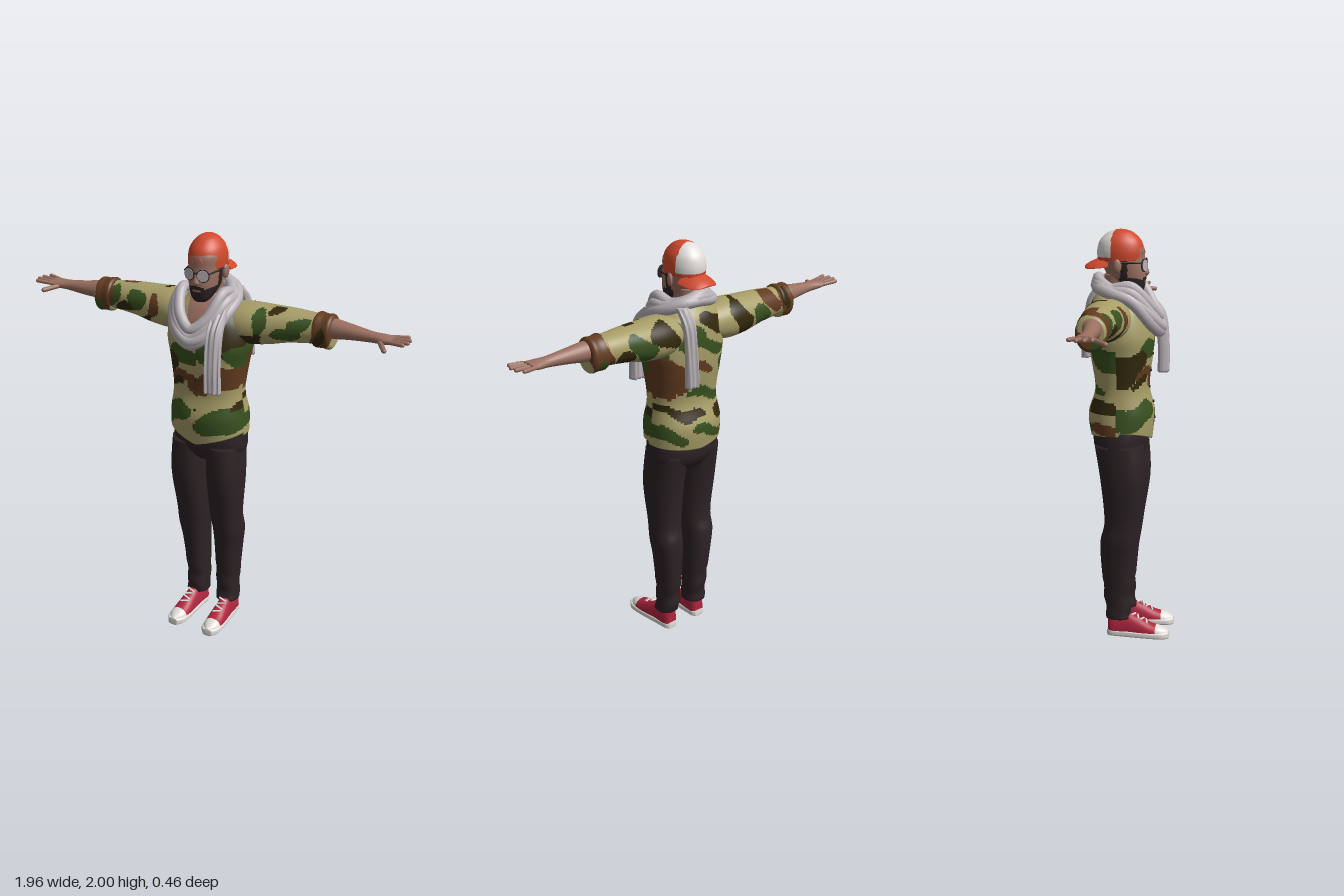
import * as THREE from 'three';

const mat = (name, color) => Object.assign(new THREE.MeshStandardMaterial({ color }), { name });
const TAN = mat('camo tan', 0xa89e68), GREEN = mat('camo green', 0x38511f), BROWN = mat('camo brown', 0x633c20);
const DARK = mat('camo dark', 0x33290b), CHARCOAL = mat('charcoal', 0x2c2224), SKIN = mat('skin', 0x9b7061);
const SCARF = mat('scarf grey', 0xbab3b8), CAP = mat('cap red', 0xd0492d), WHITE = mat('white', 0xe2deda);
const SHOE = mat('shoe red', 0xb0263e);

const catmull = (a, b, c, d, u) =>
  0.5 * (2 * b + (c - a) * u + (2 * a - 5 * b + 4 * c - d) * u * u + (3 * b - a - 3 * c + d) * u * u * u);

// Smooth body through rounded cross-sections [t, centre1, radius1, centre2, radius2] along an axis.
// pick(x, y, z) chooses the material index of each patch; warp(v) moves a vertex.
function loft(name, axis, keys, mats, { sub = 8, seg = 40, power = 2.3, pick = () => 0, warp } = {}) {
  const pos = [], v = new THREE.Vector3(), rows = (keys.length - 1) * sub;
  const flip = (axis !== 'y') !== (keys[0][0] > keys[keys.length - 1][0]);
  const put = (t, a, b) => {
    if (axis === 'y') v.set(a, t, b);
    else if (axis === 'x') v.set(t, a, b);
    else v.set(a, b, t);
    if (warp) warp(v);
    pos.push(v.x, v.y, v.z);
  };
  const K = i => keys[Math.min(Math.max(i, 0), keys.length - 1)];
  const row = r => {
    const i = Math.min(Math.floor(r / sub), keys.length - 2), u = r / sub - i;
    return K(i).map((b, n) => catmull(K(i - 1)[n], b, K(i + 1)[n], K(i + 2)[n], u));
  };
  const round = c => Math.sign(c) * Math.abs(c) ** (2 / power);
  for (let r = 0; r <= rows; r++) {
    const [t, c1, r1, c2, r2] = row(r);
    for (let j = 0; j < seg; j++) {
      const q = (j / seg) * Math.PI * 2;
      put(t, c1 + r1 * round(Math.cos(q)), c2 + r2 * round(Math.sin(q)));
    }
  }
  for (const k of [K(0), K(keys.length)]) put(k[0], k[1], k[3]);
  const lists = mats.map(() => []);
  const tri = (l, a, b, c) => (flip ? l.push(a, c, b) : l.push(a, b, c));
  const mid = (a, b) => [0, 1, 2].map(n => (pos[a * 3 + n] + pos[b * 3 + n]) / 2);
  const last = (rows + 1) * seg;
  for (let j = 0; j < seg; j++) {
    const k = (j + 1) % seg;
    for (let r = 0; r < rows; r++) {
      const a = r * seg + j, b = r * seg + k, c = b + seg, d = a + seg, l = lists[pick(...mid(a, c))];
      tri(l, a, d, b);
      tri(l, b, d, c);
    }
    tri(lists[pick(...mid(j, k))], last, j, k);
    tri(lists[pick(...mid(rows * seg + j, rows * seg + k))], last + 1, rows * seg + k, rows * seg + j);
  }
  const g = new THREE.BufferGeometry();
  g.setAttribute('position', new THREE.Float32BufferAttribute(pos, 3));
  g.setIndex(lists.flat());
  let start = 0;
  lists.forEach((l, i) => { g.addGroup(start, l.length, i); start += l.length; });
  g.computeVertexNormals();
  const m = new THREE.Mesh(g, mats);
  m.name = name;
  return m;
}

// Camouflage blobs: [x, y, half width, half height, colour index]; later ones lie on top.
const torsoFront = [[.19, 1.57, .1, .12, 3], [.22, 1.46, .07, .06, 1], [.07, 1.47, .05, .06, 1], [-.07, 1.44, .1, .045, 1],
  [-.17, 1.36, .07, .08, 3], [.12, 1.33, .15, .065, 2], [-.06, 1.33, .07, .03, 2], [-.1, 1.285, .06, .02, 3],
  [-.13, 1.13, .13, .055, 1], [.13, 1.12, .12, .065, 1], [.2, 1.2, .04, .025, 3]];
const torsoBack = [[-.12, 1.62, .13, .05, 3], [.1, 1.6, .1, .07, 1], [-.05, 1.52, .1, .03, 1], [.22, 1.47, .06, .06, 1],
  [.14, 1.4, .1, .08, 2], [-.17, 1.4, .07, .06, 1], [0, 1.42, .05, .03, 2], [-.05, 1.28, .12, .03, 1], [.18, 1.32, .06, .05, 2],
  [.09, 1.2, .1, .03, 3], [-.13, 1.18, .07, .035, 3], [.16, 1.1, .08, .035, 1], [-.04, 1.1, .1, .03, 1], [-.17, 1.07, .05, .03, 2]];
const sleeveFront = [[-.28, 1.6, .03, .06, 2], [-.38, 1.63, .06, .045, 1], [-.45, 1.57, .05, .03, 3], [-.52, 1.62, .04, .05, 1],
  [-.33, 1.53, .05, .025, 3], [-.58, 1.61, .05, .12, 2], [-.6, 1.55, .03, .05, 1], [.23, 1.53, .07, .05, 3], [.28, 1.64, .035, .06, 1],
  [.4, 1.59, .07, .035, 1], [.46, 1.65, .06, .03, 1], [.36, 1.68, .04, .02, 3], [.57, 1.61, .05, .12, 2], [.56, 1.58, .025, .05, 3]];
const sleeveBack = [[-.25, 1.6, .06, .08, 3], [-.38, 1.58, .06, .06, 1], [-.47, 1.64, .06, .05, 2], [-.58, 1.6, .05, .12, 2],
  [-.57, 1.62, .025, .06, 3], [.22, 1.62, .08, .06, 3], [.35, 1.6, .07, .06, 1], [.45, 1.57, .05, .04, 3], [.57, 1.6, .06, .12, 2],
  [.56, 1.56, .03, .04, 1]];
const camo = (front, back, zMid) => (x, y, z) => {
  const px = x + .015 * Math.sin(y * 34 + z * 9), py = y + .014 * Math.sin(x * 31 + z * 12);
  let hit = 0;
  for (const [bx, by, rx, ry, m] of z > zMid ? front : back) {
    const dx = px - bx, dy = py - by - .25 * dx;
    if ((dx / rx) ** 2 + (dy / ry) ** 2 < 1) hit = m;
  }
  return hit;
};
const CAMO = [TAN, GREEN, BROWN, DARK];

export function createModel() {
  const root = new THREE.Group();
  const add = (...m) => root.add(...m);
  const part = (name, geo, material, x = 0, y = 0, z = 0, rx = 0, ry = 0, rz = 0) => {
    const m = new THREE.Mesh(geo, material);
    m.name = name;
    m.position.set(x, y, z);
    m.rotation.set(rx, ry, rz);
    add(m);
    return m;
  };
  const rod = (name, a, b, r, material) => {
    const p = new THREE.Vector3(...a), q = new THREE.Vector3(...b), d = q.clone().sub(p);
    const m = part(name, new THREE.CapsuleGeometry(r, d.length(), 4, 10), material);
    m.position.copy(p).lerp(q, .5);
    m.quaternion.setFromUnitVectors(new THREE.Vector3(0, 1, 0), d.normalize());
  };

  // Shirt body with an open neck showing the chest
  const shirtCamo = camo(torsoFront, torsoBack, -.015);
  add(loft('shirtBody', 'y', [[1.025, .01, .193, -.015, .146], [1.13, .01, .19, -.016, .157], [1.25, .008, .177, -.012, .128],
    [1.4, .01, .193, -.015, .146], [1.5, .012, .21, -.015, .154], [1.6, .01, .195, -.025, .143], [1.66, .005, .16, -.035, .12],
    [1.7, 0, .11, -.04, .09], [1.73, 0, .065, -.035, .07]], [...CAMO, SKIN], {
    sub: 12, seg: 130,
    pick: (x, y, z) => (z > 0 && Math.abs(x) < .32 * (y - 1.49) ? 4 : shirtCamo(x, y, z)),
    warp: v => { if (v.y < 1.1) v.y += (1.1 - v.y) * 4 * (Math.abs(v.x - .01) - .1) * (v.z > 0 ? 1 : .4); },
  }));
  [[1.1, .143], [1.18, .137], [1.25, .117], [1.33, .125], [1.41, .133]].forEach(([y, z]) =>
    part('button', new THREE.CylinderGeometry(.006, .006, .008, 10), DARK, .012, y, z, Math.PI / 2));

  // Arms: sleeve, rolled cuff, forearm and hand; the right arm sits lower and further forward
  for (const s of [1, -1]) {
    const drift = x => (s > 0 ? 0 : Math.min(Math.max((x - .2) / .5, 0), 1));
    const place = (x, y, z) => [s * x, y - .025 * drift(x), z + .04 * drift(x)];
    const arm = keys => keys.map(([x, cy, ry, cz, rz]) => {
      const [px, py, pz] = place(x, cy, cz);
      return [px, py, ry, pz, rz];
    });
    const pick = camo(sleeveFront, sleeveBack, s > 0 ? -.07 : -.05);
    add(loft('sleeve', 'x', arm([[.1, 1.595, .085, -.05, .1], [.2, 1.595, .097, -.055, .11], [.3, 1.6, .092, -.065, .1],
      [.4, 1.612, .08, -.073, .088], [.5, 1.617, .071, -.08, .075], [.56, 1.618, .068, -.082, .067]]), CAMO,
    { sub: 14, seg: 64, pick, power: 2.1 }));
    const c = s > 0 ? .525 : .54;
    add(loft('rolledCuff', 'x', arm([[c, 1.617, .07, -.081, .068], [c + .012, 1.616, .083, -.082, .074],
      [c + .045, 1.614, .08, -.083, .07], [c + .075, 1.614, .082, -.083, .07], [c + .088, 1.614, .066, -.083, .058]]), CAMO,
    { sub: 6, seg: 64, pick, power: 2.1 }));
    add(loft('forearm', 'x', arm([[.5, 1.63, .05, -.082, .05], [.6, 1.634, .048, -.079, .046], [.7, 1.635, .036, -.075, .037],
      [.8, 1.634, .025, -.07, .029], [.86, 1.635, .021, -.068, .04], [.9, 1.638, .013, -.068, .046]]), [SKIN], { seg: 24, power: 2 }));
    [[-.041, .951], [-.014, .97], [.013, .973], [.038, .962]].forEach(([dz, tip]) =>
      rod('finger', place(.885, 1.638, -.068 + dz * .9), place(tip, 1.643, -.068 + dz * 1.25), .0095, SKIN));
    rod('thumb', place(.845, 1.63, -.045), place(.895, 1.618, .022), .0115, SKIN);
  }

  // Trousers
  add(loft('trouserHips', 'y', [[.89, .012, .1, -.02, .08], [.94, .012, .175, -.02, .117], [1, .012, .186, -.02, .13],
    [1.09, .012, .176, -.018, .125]], [CHARCOAL]));
  for (const s of [1, -1]) {
    const legX = (x, y) => (s < 0 ? x : .02 + .045 * (.85 - y) - x);
    add(loft('trouserLeg', 'y', [[.095, -.06, .056, -.02, .06], [.2, -.06, .055, -.028, .063], [.4, -.072, .066, -.028, .079],
      [.5, -.08, .074, -.02, .086], [.6, -.079, .077, -.003, .084], [.8, -.088, .088, .003, .107], [.98, -.085, .088, -.015, .118]]
      .map(([y, x, ...k]) => [y, legX(x, y), ...k]), [CHARCOAL], { warp: v => { v.z += .004 * Math.sin(v.y * 60 + v.x * 20) * (v.y < .3); } }));
  }

  // Shoes: sole, upper with white toe, laces
  for (const x of [-.06, .122]) {
    const shoe = new THREE.Group();
    shoe.name = 'shoe';
    const outline = grow => [[-.076, .022, .012], [-.055, .037, .012], [0, .041, .012], [.08, .046, .012], [.15, .048, .012],
      [.2, .042, .012], [.23, .022, .012]].map(([z, r]) => [z, 0, r + grow, .018, .018]);
    shoe.add(loft('sole', 'z', outline(.002), [WHITE], { power: 4 }));
    shoe.add(loft('upper', 'z', [[-.073, 0, .024, .02, .085], [-.05, 0, .038, .02, .1], [.02, 0, .04, .02, .098], [.08, 0, .044, .02, .078],
      [.14, 0, .046, .02, .052], [.19, 0, .04, .02, .038], [.228, 0, .014, .02, .018]], [SHOE, WHITE],
    { pick: (a, b, z) => (z > .165 ? 1 : 0), warp: v => { v.y = Math.max(v.y, .02); } }));
    for (let i = 0; i < 4; i++) {
      const lace = new THREE.Mesh(new THREE.BoxGeometry(.045, .008, .008), WHITE);
      lace.name = 'lace';
      lace.position.set(0, .112 - .011 * i, .054 + .021 * i);
      lace.rotation.set(.5, i % 2 ? .3 : -.3, 0);
      shoe.add(lace);
    }
    shoe.position.x = x;
    shoe.rotation.y = x > 0 ? .04 : -.04;
    add(shoe);
  }

  // Neck and bearded head
  add(loft('neck', 'y', [[1.62, 0, .075, -.02, .08], [1.7, 0, .058, -.03, .066], [1.79, 0, .056, -.03, .066]], [SKIN]));
  add(loft('head', 'y', [[1.7, 0, .03, .055, .028], [1.72, 0, .05, .045, .046], [1.76, 0, .066, .02, .08], [1.8, 0, .074, .005, .097],
    [1.86, 0, .08, -.01, .104], [1.92, 0, .08, -.016, .103], [1.97, 0, .045, -.02, .06]], [SKIN, CHARCOAL], {
    sub: 14, seg: 90, power: 2.15,
    pick: (x, y, z) => {
      const a = Math.abs(x), lip = a < .02 && y > 1.752 && y < 1.763;
      const jaw = y < 1.752 + a * .35 && z > -.01 + (1.74 - y) * .3;
      const burn = a > .05 && z > -.012 && z < .022 && y < 1.86;
      const tash = z > .05 && a < .036 && y > 1.73 && y < 1.782 - a * .2;
      return !lip && (jaw || burn || tash) ? 1 : 0;
    },
  }));
  add(loft('nose', 'y', [[1.783, 0, .012, .098, .008], [1.796, 0, .017, .1, .016], [1.82, 0, .011, .096, .013], [1.845, 0, .008, .09, .01]], [SKIN], { seg: 16 }));

  // Ears and sunglasses
  for (const s of [1, -1]) {
    part('ear', new THREE.SphereGeometry(.03, 16, 12), SKIN, s * .086, 1.832, -.022, 0, s * -.35, 0).scale.set(.4, 1.1, .65);
    part('lensFrame', new THREE.CylinderGeometry(.031, .029, .006, 24), CHARCOAL, s * .036, 1.833, .096, Math.PI / 2, 0, s * -.25);
    part('lens', new THREE.CylinderGeometry(.027, .026, .008, 24), SCARF, s * .036, 1.833, .098, Math.PI / 2, 0, s * -.25);
    rod('glassesArm', [s * .066, 1.845, .086], [s * .084, 1.848, -.01], .004, CHARCOAL);
  }
  rod('glassesBridge', [-.012, 1.842, .103], [.012, 1.842, .103], .004, CHARCOAL);

  // Cap worn backwards
  add(loft('capCrown', 'y', [[1.855, -.002, .087, -.02, .109], [1.9, -.002, .088, -.02, .111], [1.945, -.002, .077, -.02, .098],
    [1.98, -.002, .05, -.02, .064], [1.994, -.002, .025, -.02, .032], [1.998, -.002, .004, -.02, .005]], [CAP, WHITE],
  { sub: 10, seg: 80, power: 2.05, pick: (x, y, z) => (z < -.04 - Math.abs(x) * .2 && y > 1.872 ? 1 : 0) }));
  add(loft('capBrim', 'z', [[-.07, 0, .086, 1.862, .008], [-.12, 0, .084, 1.855, .008], [-.16, 0, .07, 1.84, .007],
    [-.182, 0, .045, 1.828, .006], [-.19, 0, .015, 1.824, .004]], [CAP], { warp: v => { v.y -= v.x * v.x * 5; } }));
  part('capOpening', new THREE.TorusGeometry(.025, .004, 8, 24, Math.PI), CAP, 0, 1.885, .09, -.12);
  part('capButton', new THREE.SphereGeometry(.008, 12, 8), CAP, -.002, 1.995, -.02).scale.y = .6;

  // Scarf loops and hanging ends
  [[1, 0, .03], [.9, .035, .028], [.78, .07, .026], [.92, .012, .027]].forEach(([k, up, r], i) => {
    const half = [[.075, 1.735, -.115], [.13, 1.712, -.05], [.138, 1.67, .045], [.085, 1.57, .135]];
    const pts = [[0, 1.745, -.13], ...half, [.005, 1.525, .165], ...half.map(([x, y, z]) => [-x, y, z]).reverse()];
    const path = new THREE.CatmullRomCurve3(pts.map(([x, y, z], n) => new THREE.Vector3(
      x * k, y + up * (z > 0 ? 1 : .3) + .006 * Math.sin(n * 2 + i), z * (.88 + .12 * k) + (i === 3 ? .012 : 0))), true);
    part('scarfLoop', new THREE.TubeGeometry(path, 80, r, 10, true), SCARF);
  });
  const folds = v => { v.z += .006 * Math.cos(v.x * 260); };
  add(loft('scarfFrontEnd', 'y', [[1.305, .128, .043, .17, .022], [1.45, .125, .04, .17, .022], [1.6, .125, .036, .145, .026],
    [1.69, .118, .03, .06, .03]], [SCARF], { seg: 64, power: 3, warp: folds }));
  add(loft('scarfBackEnd', 'y', [[1.37, .107, .037, -.207, .018], [1.5, .105, .035, -.198, .018], [1.65, .1, .034, -.175, .02],
    [1.73, .095, .03, -.12, .024]], [SCARF], { seg: 64, power: 3, warp: folds }));
  return root;
}
